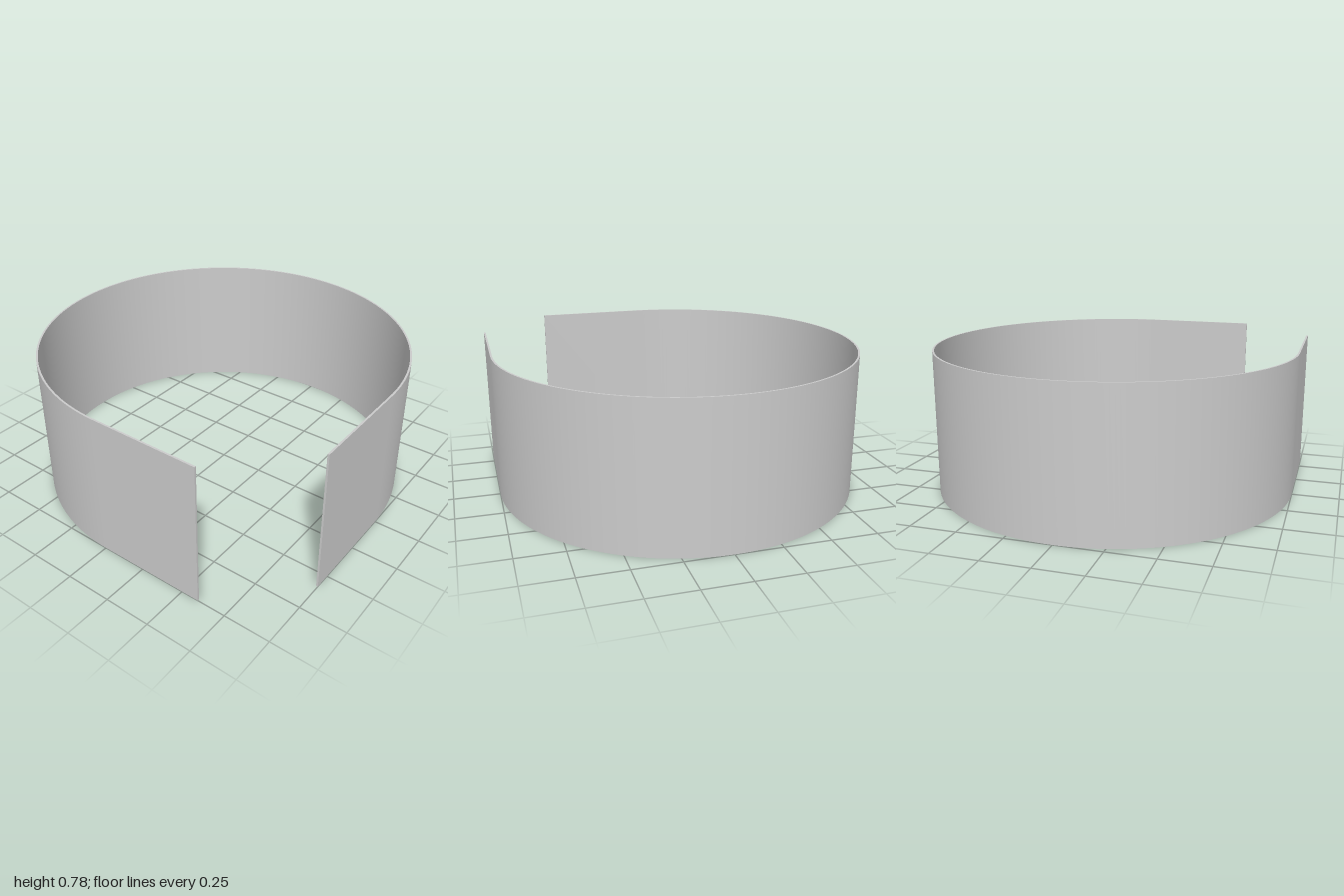
import * as THREE from 'three';
import { toCreasedNormals } from 'three/addons/utils/BufferGeometryUtils.js';

const HEIGHT = 0.78;
const OUTER = 1;
const INNER = 0.99;
const TAB_SIDE = 0.585; // length of the straight end on the left side
const TAB_FRONT = 0.595; // length of the straight end along the front

export function createModel() {
  const group = new THREE.Group();
  group.name = 'openRing';

  // Plan outline (shape y is -z): three quarters of a ring with a straight tangent tab at each end
  const plan = new THREE.Shape();
  plan.moveTo(OUTER, -TAB_SIDE);
  plan.lineTo(OUTER, 0);
  plan.absarc(0, 0, OUTER, 0, Math.PI * 1.5, false);
  plan.lineTo(TAB_FRONT, -OUTER);
  plan.lineTo(TAB_FRONT, -INNER);
  plan.lineTo(0, -INNER);
  plan.absarc(0, 0, INNER, Math.PI * 1.5, 0, true);
  plan.lineTo(INNER, -TAB_SIDE);
  plan.closePath();

  // Thin wall raised from the ground, smooth around the curve and sharp at the rims
  const wall = new THREE.ExtrudeGeometry(plan, { depth: HEIGHT, bevelEnabled: false, curveSegments: 96 });
  wall.rotateX(-Math.PI / 2);

  const band = new THREE.Mesh(
    toCreasedNormals(wall, Math.PI / 6),
    new THREE.MeshStandardMaterial({ color: 0xcccccc })
  );
  band.name = 'band';
  group.add(band);
  return group;
}
